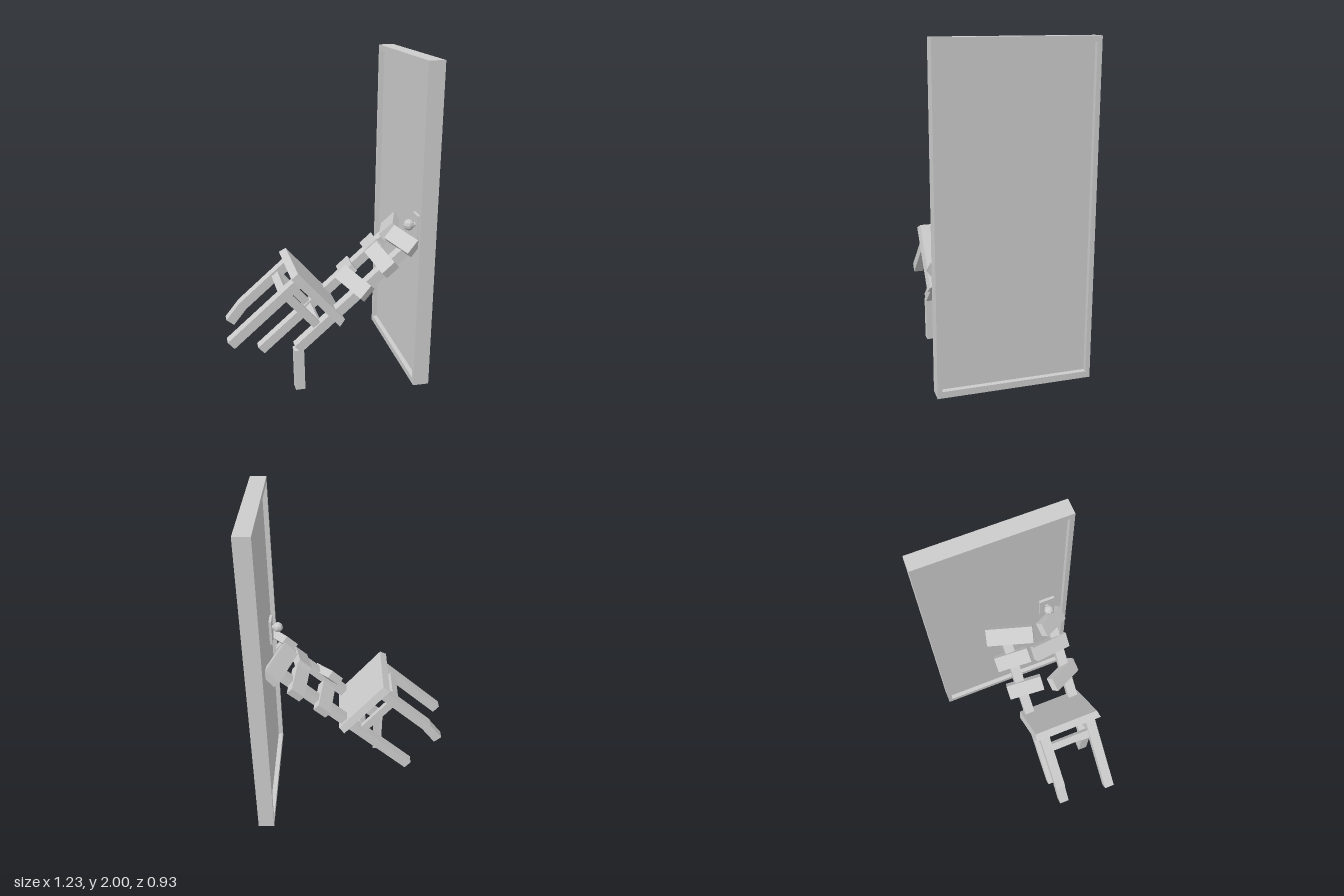
import * as THREE from 'three';

const mat = new THREE.MeshStandardMaterial({ color: 0xcccccc, flatShading: true });

function add(parent, name, geometry, x = 0, y = 0, z = 0) {
  const mesh = new THREE.Mesh(geometry, mat);
  mesh.name = name;
  mesh.position.set(x, y, z);
  parent.add(mesh);
  return mesh;
}
const box = (parent, name, w, h, d, x, y, z) => add(parent, name, new THREE.BoxGeometry(w, h, d), x, y, z);

export function createModel() {
  const model = new THREE.Group();
  model.name = 'chairWedgedAgainstDoor';

  // Door: rim with a panel recessed on both faces
  const door = new THREE.Group();
  door.name = 'door';
  model.add(door);
  const rect = (Type, w, y0, y1) => new Type([
    new THREE.Vector2(-w, y0), new THREE.Vector2(w, y0), new THREE.Vector2(w, y1), new THREE.Vector2(-w, y1)]);
  const rim = rect(THREE.Shape, 0.465, 0, 2);
  rim.holes.push(rect(THREE.Path, 0.437, 0.04, 1.965));
  const frame = add(door, 'doorFrame', new THREE.ExtrudeGeometry(rim, { depth: 0.1, bevelEnabled: false }), 0.515);
  frame.rotation.y = Math.PI / 2;
  box(door, 'doorPanel', 0.04, 1.93, 0.88, 0.565, 1.0, 0);

  // Knob with back plate and stem
  box(door, 'knobPlate', 0.02, 0.17, 0.1, 0.538, 1.0, 0.33);
  const stem = add(door, 'knobStem', new THREE.CylinderGeometry(0.014, 0.014, 0.05, 8), 0.52, 1.02, 0.33);
  stem.rotation.z = Math.PI / 2;
  add(door, 'knob', new THREE.SphereGeometry(0.034, 8, 6), 0.49, 1.02, 0.33);

  // Chair, tipped so that its back leans on the door; local y runs along the legs
  const chair = new THREE.Group();
  chair.name = 'chair';
  chair.position.set(-0.0715, 0.608, 0.172);
  chair.rotation.z = -0.847;
  model.add(chair);

  // Seat tapers slightly towards its top
  const seat = new THREE.BoxGeometry(0.445, 0.05, 0.456);
  const p = seat.attributes.position;
  for (let i = 0; i < p.count; i++) {
    if (p.getY(i) > 0) p.setXYZ(i, p.getX(i) * 0.97, p.getY(i), p.getZ(i) * 0.945);
  }
  seat.computeVertexNormals();
  add(chair, 'seat', seat);

  // Legs and back posts; one front and one rear leg are snapped short
  const post = (name, x, y0, y1, z) => box(chair, name, 0.06, y1 - y0, 0.064, x, (y0 + y1) / 2, z);
  const legX = 0.165, legZ = 0.162;
  post('leftFrontLeg', -0.155, -0.565, -0.02, legZ);
  post('snappedRightFrontLeg', -0.155, -0.43, -0.02, -legZ);
  post('snappedLeftRearLeg', legX, -0.31, -0.02, legZ);
  post('rightRearLeg', legX, -0.555, -0.02, -legZ);
  for (const s of [1, -1]) {
    post('backPost', legX, -0.02, 0.605, s * legZ);
    box(chair, 'sideStretcher', 0.28, 0.05, 0.035, 0, -0.125, s * legZ);
  }
  for (const x of [-0.155, legX]) box(chair, 'crossStretcher', 0.035, 0.05, 0.28, x, -0.13, 0);

  // Broken leg ends, each a beam between two points
  const beam = (name, a, b, z) => {
    const dx = b[0] - a[0], dy = b[1] - a[1];
    const m = box(model, name, 0.06, Math.hypot(dx, dy), 0.062, (a[0] + b[0]) / 2, (a[1] + b[1]) / 2, z);
    m.rotation.z = Math.atan2(-dx, dy);
  };
  beam('brokenRearLegEnd', [-0.181, 0.001], [-0.188, 0.272], 0.335);
  beam('brokenFrontLegEnd', [-0.572, 0.338], [-0.487, 0.447], 0.008);

  // Broken back slats: centre, slope of the length in x and y per z, length, height
  const up = new THREE.Vector3(0.75, 0.66, 0);
  const slats = [
    ['rightLowerSlat', 0.185, 0.645, 0.035, -0.13, 0.15, 0.24, 0.1],
    ['leftLowerSlat', 0.167, 0.66, 0.305, 0.55, -0.32, 0.24, 0.1],
    ['rightMiddleSlat', 0.35, 0.79, 0.012, -0.12, 0.17, 0.23, 0.1],
    ['leftMiddleSlat', 0.342, 0.79, 0.28, 0.17, -0.19, 0.255, 0.1],
    ['rightTopRail', 0.465, 0.915, 0.04, -0.36, 0.1, 0.31, 0.115],
    ['leftTopRail', 0.455, 0.92, 0.33, 0.55, -0.27, 0.2, 0.1],
  ];
  for (const [name, x, y, z, sx, sy, length, height] of slats) {
    const slat = box(model, name, 0.055, height, length, x, y, z);
    const along = new THREE.Vector3(sx, sy, 1).normalize();
    const thick = new THREE.Vector3().crossVectors(up, along).normalize();
    const tall = new THREE.Vector3().crossVectors(along, thick);
    slat.quaternion.setFromRotationMatrix(new THREE.Matrix4().makeBasis(thick, tall, along));
  }
  return model;
}
